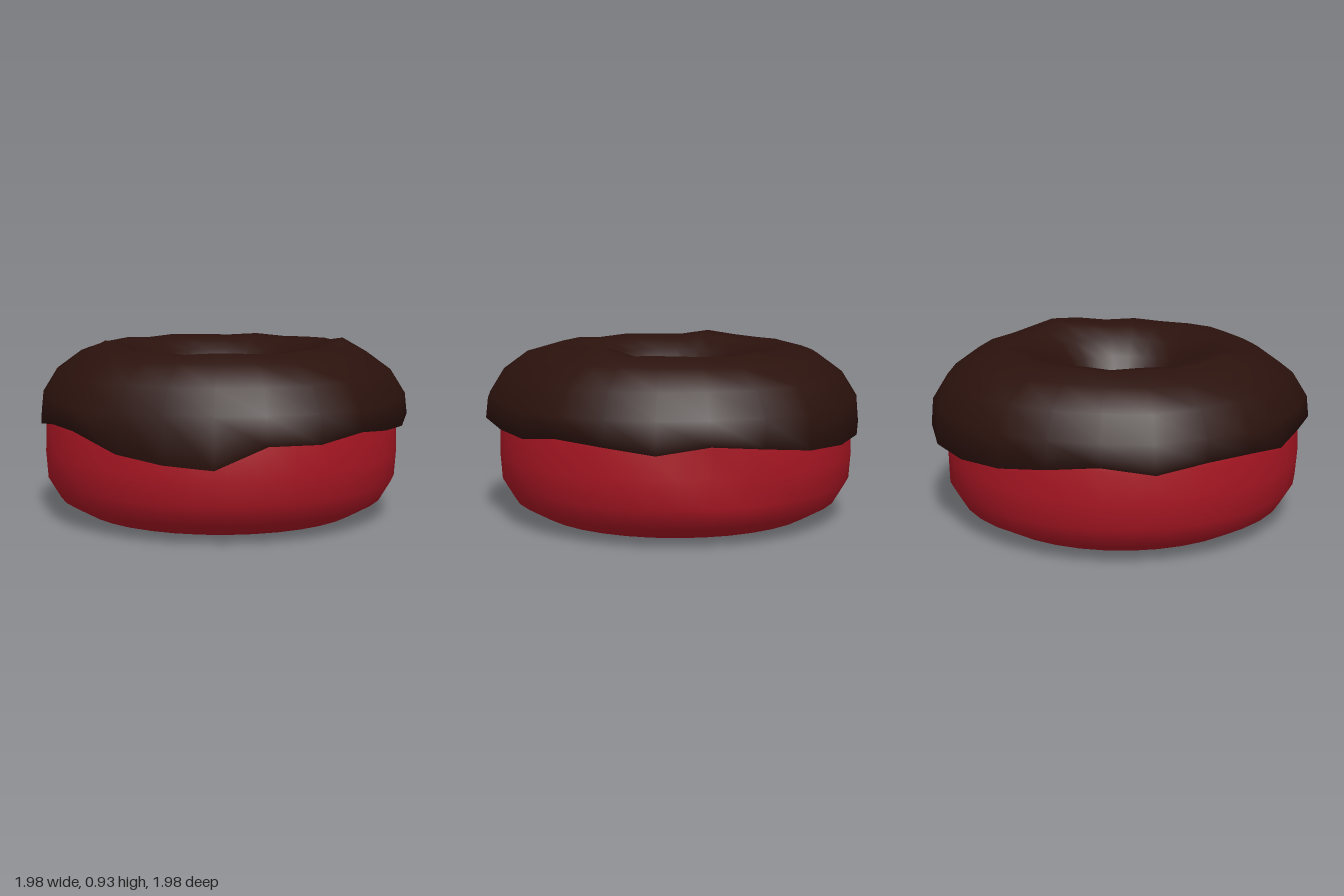
import * as THREE from 'three';

// Sweeps a cross-section around y; section(angle) returns [radius, height] points.
// Angle 0 faces +z and turns toward +x. Points run outside -> over the top -> inside.
function sweep(section, segments, closed) {
  const pos = [], index = [];
  let n = 0;
  for (let i = 0; i < segments; i++) {
    const a = (i / segments) * Math.PI * 2;
    const pts = section(a);
    n = pts.length;
    for (const [r, y] of pts) pos.push(r * Math.sin(a), y, r * Math.cos(a));
  }
  for (let i = 0; i < segments; i++) {
    const p = i * n, q = ((i + 1) % segments) * n;
    for (let j = 0; j < (closed ? n : n - 1); j++) {
      const k = (j + 1) % n;
      index.push(p + j, q + j, p + k, q + j, q + k, p + k);
    }
  }
  const g = new THREE.BufferGeometry();
  g.setAttribute('position', new THREE.Float32BufferAttribute(pos, 3));
  g.setIndex(index);
  g.computeVertexNormals();
  return g;
}

// Smooth bump of height 1 around a centre angle (degrees)
function bump(a, centre, width) {
  let d = Math.abs((a * 180) / Math.PI - centre) % 360;
  if (d > 180) d = 360 - d;
  return Math.exp(-((d / width) ** 2));
}

// Samples a table of values spaced evenly around the ring
function around(table, a) {
  const t = (a / (Math.PI * 2)) * table.length;
  const i = Math.floor(t + 1e-6);
  return THREE.MathUtils.lerp(table[i % table.length], table[(i + 1) % table.length], Math.max(0, t - i));
}

// Icing outline every 15 degrees: outer radius and height of the dripping rim
const RIM_RADIUS = [0.985, 0.95, 0.945, 0.965, 0.97, 0.995, 0.985, 0.955, 0.96, 0.975, 0.975, 0.985,
  0.99, 1.01, 1.02, 1.01, 1.0, 0.99, 0.99, 1.02, 0.99, 0.98, 0.968, 0.96];
const RIM_HEIGHT = [0.53, 0.44, 0.405, 0.39, 0.5, 0.5, 0.535, 0.51, 0.5, 0.53, 0.51, 0.48,
  0.52, 0.5, 0.47, 0.46, 0.47, 0.5, 0.53, 0.5, 0.53, 0.53, 0.5, 0.53];
// Inner opening of the icing every 30 degrees
const HOLE_RADIUS = [0.24, 0.26, 0.235, 0.235, 0.26, 0.28, 0.275, 0.25, 0.235, 0.24, 0.22, 0.23];

// Plump ring with a flattened underside and a small dent at the back
function doughSection(a) {
  const dent = 0.04 * bump(a, 184, 12);
  return [
    [0.61, 0], [0.735, 0.03], [0.86, 0.1], [0.925, 0.21], [0.935 - dent, 0.35], [0.93, 0.5],
    [0.91, 0.6], [0.84, 0.72], [0.72, 0.82], [0.6, 0.85], [0.47, 0.82], [0.36, 0.71],
    [0.295, 0.56], [0.275, 0.42], [0.285, 0.3], [0.325, 0.16], [0.39, 0.065], [0.47, 0.02], [0.54, 0],
  ];
}

// Thick coat over the top with a turned-under uneven rim
function icingSection(a) {
  const R = around(RIM_RADIUS, a), edge = around(RIM_HEIGHT, a), hole = around(HOLE_RADIUS, a);
  const top = 0.9 + 0.03 * bump(a, 130, 16) + 0.02 * bump(a, 326, 14) + 0.006 * Math.sin(a * 9);
  return [
    [R - 0.07, edge + 0.01], [R, edge], [R - 0.012, 0.64], [R - 0.09, 0.765], [R - 0.22, 0.86],
    [0.63, top], [0.52, top - 0.015], [0.42, 0.83], [0.34, 0.75], [hole + 0.03, 0.66],
    [hole, 0.55], [hole + 0.06, 0.52 + 0.02 * Math.sin(a * 4)],
  ];
}

export function createModel() {
  const group = new THREE.Group();
  group.name = 'doughnut';

  const dough = new THREE.Mesh(
    sweep(doughSection, 36, true),
    new THREE.MeshStandardMaterial({ color: 0xa81623 })
  );
  dough.name = 'dough';
  dough.position.x = -0.02;

  const icing = new THREE.Mesh(
    sweep(icingSection, 24, false),
    new THREE.MeshStandardMaterial({ color: 0x2b120d, side: THREE.DoubleSide })
  );
  icing.name = 'icing';

  group.add(dough, icing);
  return group;
}
